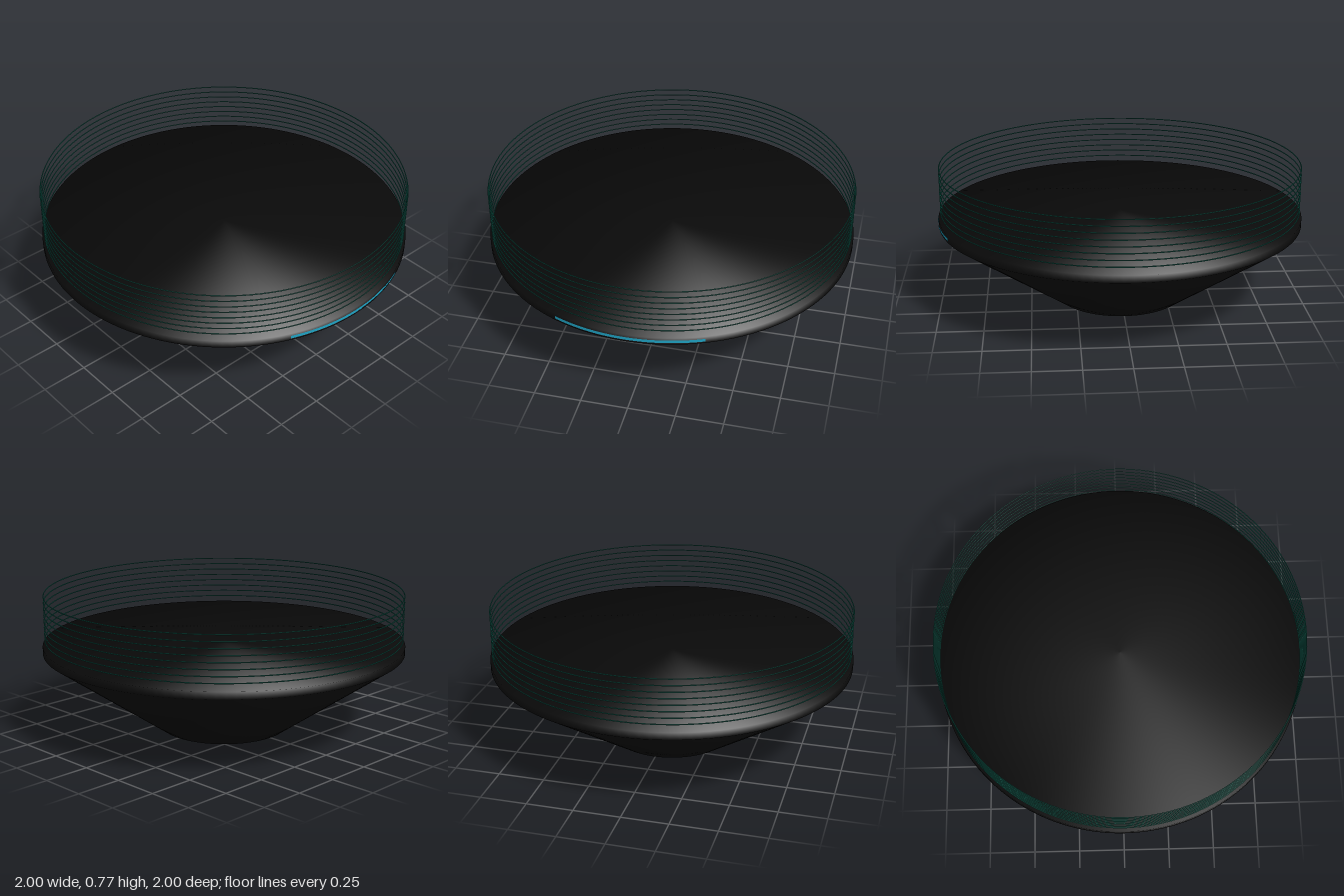
import * as THREE from 'three';

const SEGMENTS = 128;

// Lathe whose normals blend evenly across every edge of the profile
function softLathe(profile) {
  const pts = profile.map(([x, y]) => new THREE.Vector2(x, y));
  const geo = new THREE.LatheGeometry(pts, SEGMENTS);
  const edges = pts.slice(1).map((p, i) => {
    const d = p.clone().sub(pts[i]).normalize();
    return new THREE.Vector2(d.y, -d.x);
  });
  const normals = pts.map((_, i) => {
    const n = new THREE.Vector2();
    if (i > 0) n.add(edges[i - 1]);
    if (i < edges.length) n.add(edges[i]);
    return n.normalize();
  });
  const attr = geo.attributes.normal;
  for (let i = 0; i <= SEGMENTS; i++) {
    const a = (i / SEGMENTS) * Math.PI * 2;
    normals.forEach((n, j) =>
      attr.setXYZ(i * pts.length + j, n.x * Math.sin(a), n.y, n.x * Math.cos(a)));
  }
  return geo;
}

export function createModel() {
  const model = new THREE.Group();
  const add = (name, geo, material, y = 0) => {
    const mesh = new THREE.Mesh(geo, material);
    mesh.name = name;
    mesh.position.y = y;
    model.add(mesh);
    return mesh;
  };

  const black = new THREE.MeshStandardMaterial({ color: 0x0a0a0a });
  const teal = new THREE.MeshStandardMaterial({ color: 0x126657 });
  const blue = new THREE.MeshStandardMaterial({ color: 0x1fa3c4, side: THREE.DoubleSide });

  // Tapered base with a short upright rim and a flat top
  add('base', softLathe([[0, 0], [0.355, 0], [0.998, 0.45], [0.998, 0.49], [0, 0.49]]), black);

  // Curved light strip on the front of the rim
  const arc = 0.392;
  add('lightStrip',
    new THREE.CylinderGeometry(1.001, 1.001, 0.016, 32, 1, true, -arc, arc * 2), blue, 0.47);

  // Stack of thin floating rings
  const ringGeo = new THREE.TorusGeometry(0.985, 0.003, 6, SEGMENTS).rotateX(Math.PI / 2);
  for (let i = 0; i < 8; i++) add(`ring${i + 1}`, ringGeo, teal, 0.527 + i * 0.0343);

  return model;
}
